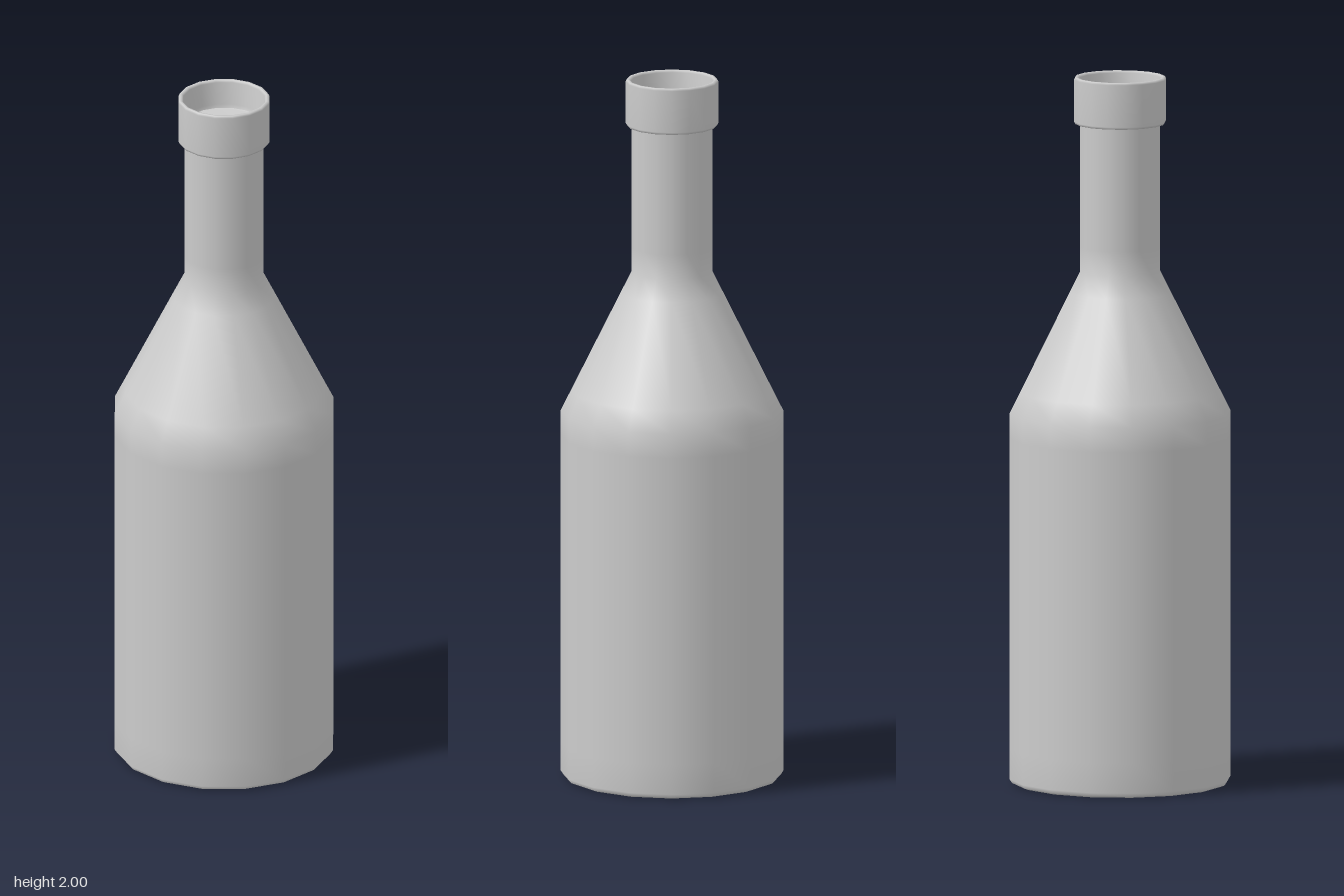
import * as THREE from 'three';

const SIDES = 16;

export function createModel() {
  const group = new THREE.Group();
  group.name = 'bottle';
  const material = new THREE.MeshStandardMaterial({ color: 0xcccccc });

  // Revolve a profile of [radius, height] pairs, ordered so faces point outward
  function turned(name, profile) {
    const points = profile.map(([r, y]) => new THREE.Vector2(r, y));
    const mesh = new THREE.Mesh(new THREE.LatheGeometry(points, SIDES), material);
    mesh.name = name;
    group.add(mesh);
  }

  // Flat underside with a slightly eased edge
  turned('base', [[0, 0], [0.295, 0], [0.305, 0.004]]);

  // Straight body, conical shoulder and slim neck
  turned('body', [
    [0.305, 0.004], [0.312, 0.015], [0.312, 0.1], [0.312, 0.98], [0.312, 1.05],
    [0.282, 1.11], [0.143, 1.39], [0.113, 1.45], [0.113, 1.52], [0.113, 1.87],
  ]);

  // Raised collar around the mouth, with its lip and inner wall
  turned('collar', [
    [0.113, 1.868], [0.126, 1.868], [0.13, 1.875], [0.13, 1.994], [0.127, 2],
    [0.12, 2], [0.116, 1.994], [0.11, 1.93], [0.107, 1.92],
  ]);

  // Shallow floor closing the mouth
  turned('mouthFloor', [[0.107, 1.92], [0.1, 1.918], [0, 1.918]]);

  return group;
}
